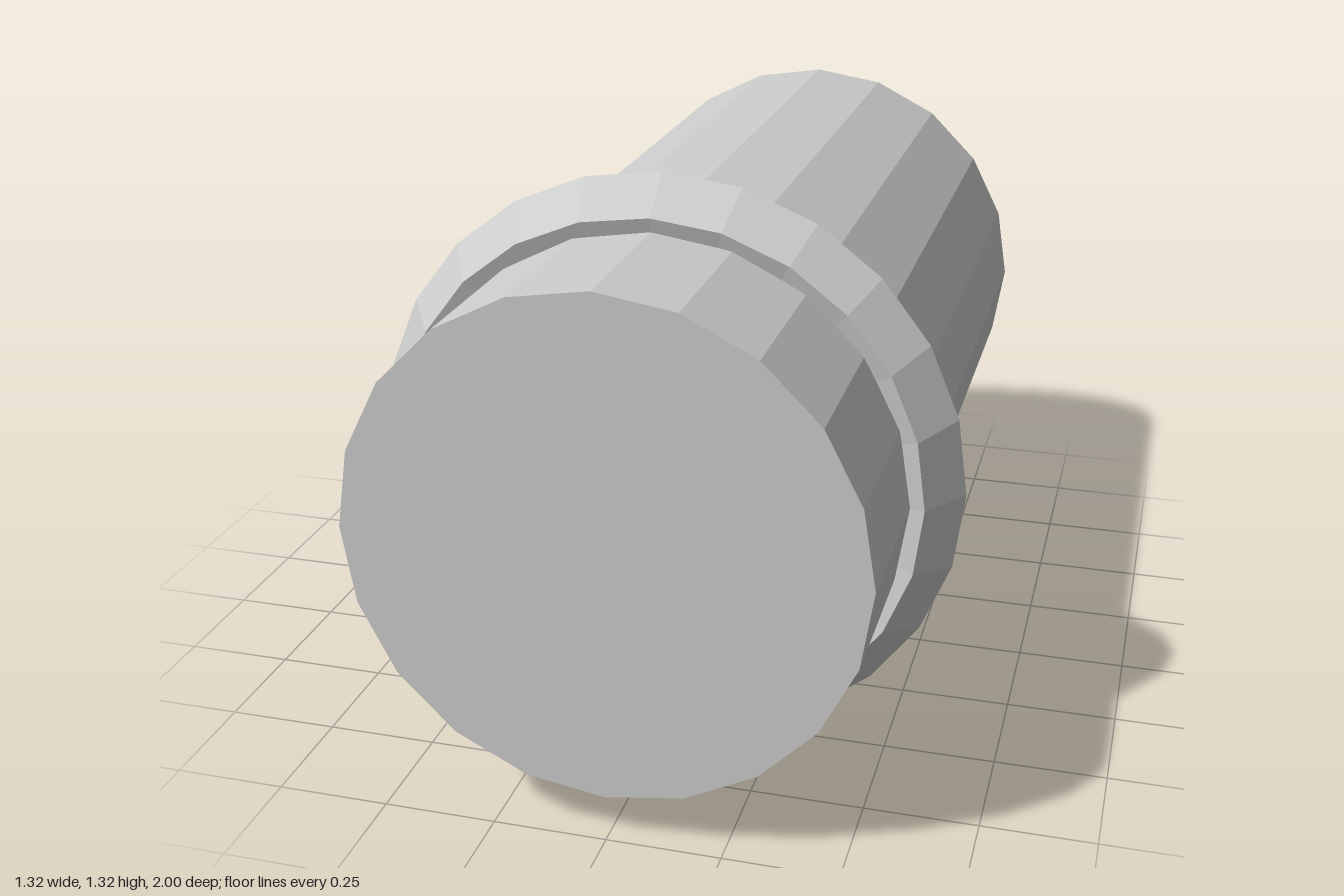
import * as THREE from 'three';

export function createModel() {
  const group = new THREE.Group();
  const grey = new THREE.MeshStandardMaterial({ color: 0xcccccc, flatShading: true });
  grey.name = 'light grey';

  const centreY = 0.66;
  const radius = 0.555;

  // Solid 20-sided barrel lying along z
  const barrel = new THREE.Mesh(new THREE.CylinderGeometry(radius, radius, 2, 20), grey);
  barrel.name = 'barrel';
  barrel.rotation.x = Math.PI / 2;
  barrel.position.y = centreY;
  group.add(barrel);

  // Collar with a five-sided section, its ridge pointing outward
  const collar = new THREE.Mesh(new THREE.TorusGeometry(radius, 0.105, 5, 24), grey);
  collar.name = 'collar';
  collar.position.set(0, centreY, 0.527);
  group.add(collar);

  return group;
}
